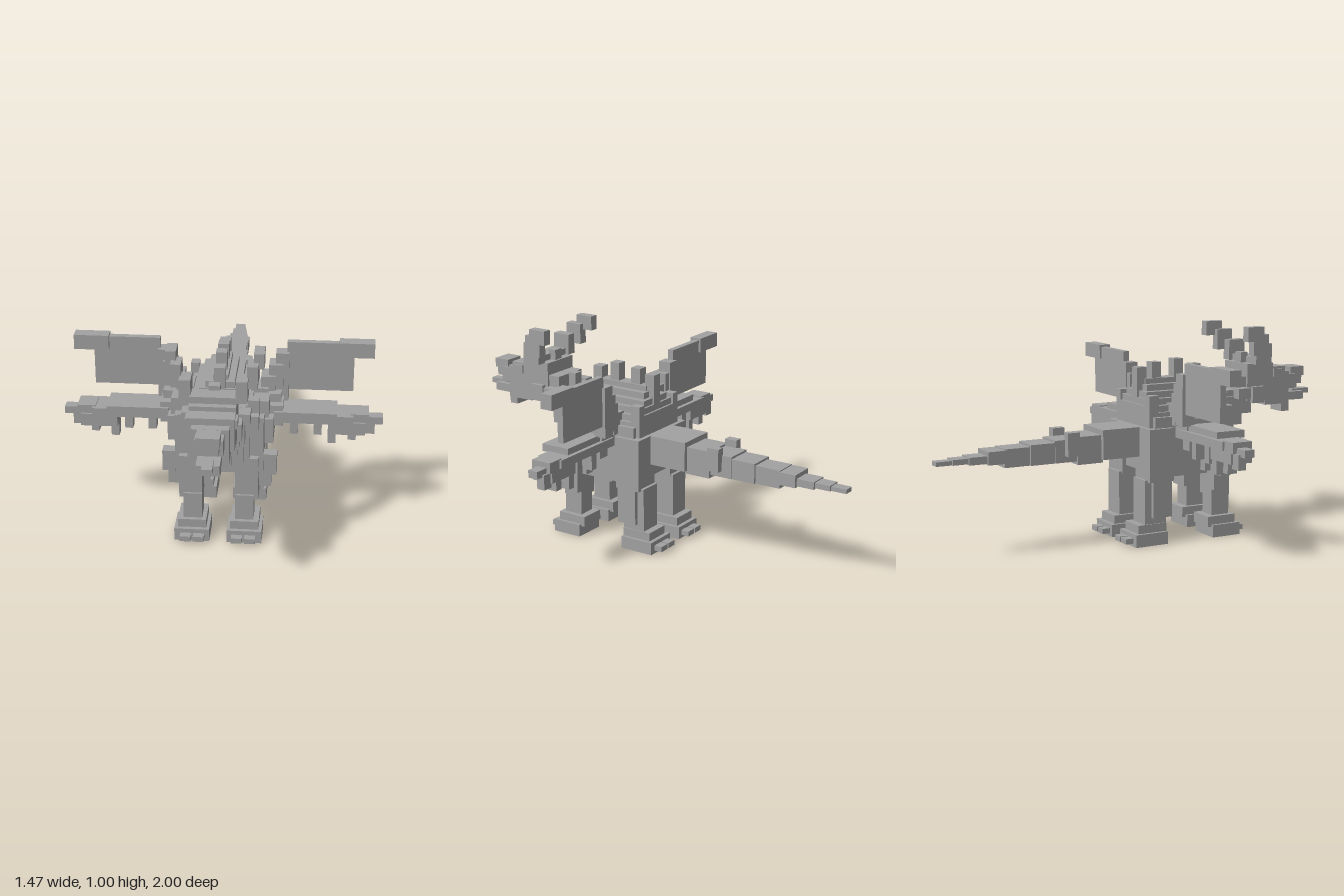
import * as THREE from 'three';

export function createModel() {
  const model = new THREE.Group();
  model.name = 'blockDragon';
  const grey = new THREE.MeshStandardMaterial({ color: 0xa2a2a2 });
  grey.name = 'stone grey';

  const part = (name) => {
    const g = new THREE.Group();
    g.name = name;
    model.add(g);
    return g;
  };
  // Box from its extents
  const box = (g, name, x0, x1, y0, y1, z0, z1) => {
    const m = new THREE.Mesh(new THREE.BoxGeometry(x1 - x0, y1 - y0, z1 - z0), grey);
    m.position.set((x0 + x1) / 2, (y0 + y1) / 2, (z0 + z1) / 2);
    m.name = name;
    g.add(m);
  };
  // Box centred on x = 0
  const mid = (g, name, w, ...e) => box(g, name, -w, w, ...e);
  // Mirrored pair of boxes
  const pair = (g, name, x0, x1, ...e) => {
    box(g, name + 'Left', x0, x1, ...e);
    box(g, name + 'Right', -x1, -x0, ...e);
  };

  // Torso with stepped chest
  const body = part('body');
  mid(body, 'torso', 0.16, 0.34, 0.62, 0.0, 0.4);
  mid(body, 'belly', 0.155, 0.31, 0.36, 0.08, 0.38);
  mid(body, 'upperTorso', 0.18, 0.42, 0.6, 0.02, 0.36);
  mid(body, 'chestStep', 0.14, 0.36, 0.63, 0.38, 0.43);
  mid(body, 'chestStep', 0.115, 0.4, 0.64, 0.42, 0.46);
  mid(body, 'chestStep', 0.09, 0.45, 0.62, 0.45, 0.49);
  mid(body, 'chestPlate', 0.06, 0.39, 0.46, 0.4, 0.48);

  // Stepped ridges on the back
  [[0.145, 0.65, 0.0, 0.38], [0.12, 0.68, 0.01, 0.36], [0.095, 0.71, 0.02, 0.34],
    [0.065, 0.74, 0.04, 0.33], [0.035, 0.765, 0.05, 0.31]]
    .forEach(([w, y, z0, z1]) => mid(body, 'backStep', w, y - 0.05, y, z0, z1));

  // Spines down the middle of the back
  const spines = part('spines');
  [[0.01, 0.82], [0.09, 0.84], [0.21, 0.85], [0.31, 0.82], [0.37, 0.7]]
    .forEach(([z, y]) => mid(spines, 'spine', 0.025, y - 0.15, y, z, z + 0.05));

  // Neck
  const neck = part('neck');
  mid(neck, 'neckBase', 0.12, 0.5, 0.66, 0.38, 0.49);
  mid(neck, 'neckMiddle', 0.1, 0.52, 0.69, 0.46, 0.55);
  mid(neck, 'neckTop', 0.09, 0.57, 0.75, 0.52, 0.61);
  mid(neck, 'neckSpine', 0.025, 0.69, 0.76, 0.47, 0.51);
  pair(neck, 'collar', 0.11, 0.18, 0.56, 0.63, 0.36, 0.45);

  // Head, jaw and muzzle
  const head = part('head');
  mid(head, 'skull', 0.1, 0.63, 0.81, 0.58, 0.73);
  mid(head, 'brow', 0.1, 0.74, 0.84, 0.62, 0.7);
  mid(head, 'crest', 0.025, 0.8, 0.86, 0.59, 0.63);
  mid(head, 'face', 0.1, 0.64, 0.79, 0.7, 0.8);
  mid(head, 'muzzle', 0.08, 0.66, 0.76, 0.78, 0.84);
  mid(head, 'muzzle', 0.06, 0.67, 0.74, 0.82, 0.9);
  mid(head, 'nose', 0.045, 0.69, 0.74, 0.88, 0.94);
  mid(head, 'noseHorn', 0.05, 0.73, 0.775, 0.87, 0.95);
  mid(head, 'jaw', 0.08, 0.6, 0.66, 0.7, 0.84);
  mid(head, 'jawFront', 0.05, 0.61, 0.65, 0.82, 0.95);
  mid(head, 'tongue', 0.023, 0.635, 0.66, 0.9, 1.0);
  mid(head, 'beard', 0.045, 0.555, 0.61, 0.82, 0.865);
  pair(head, 'eyebrow', 0.06, 0.11, 0.74, 0.78, 0.73, 0.79);
  pair(head, 'cheek', 0.095, 0.12, 0.62, 0.7, 0.6, 0.67);
  pair(head, 'ear', 0.1, 0.15, 0.65, 0.7, 0.5, 0.57);
  pair(head, 'hornRoot', 0.095, 0.145, 0.81, 0.91, 0.6, 0.69);
  pair(head, 'hornMiddle', 0.14, 0.185, 0.86, 0.96, 0.56, 0.645);
  pair(head, 'hornTip', 0.165, 0.21, 0.93, 1.0, 0.51, 0.6);

  // Tapering tail: half width, y range, z range
  const tail = part('tail');
  [[0.1, 0.41, 0.55, -0.21, 0.02], [0.08, 0.395, 0.525, -0.33, -0.2],
    [0.068, 0.41, 0.515, -0.44, -0.32], [0.065, 0.41, 0.505, -0.56, -0.44],
    [0.055, 0.41, 0.495, -0.685, -0.56], [0.06, 0.43, 0.49, -0.765, -0.67],
    [0.045, 0.435, 0.47, -0.85, -0.76], [0.035, 0.44, 0.465, -0.925, -0.85],
    [0.025, 0.44, 0.46, -1.0, -0.92]]
    .forEach((t) => mid(tail, 'tailSegment', ...t));
  pair(tail, 'tailSpike', 0.06, 0.1, 0.44, 0.55, -0.39, -0.33);

  // Front legs with toes pointing forward
  const front = part('frontLegs');
  pair(front, 'frontThigh', 0.075, 0.18, 0.2, 0.41, 0.33, 0.43);
  pair(front, 'shoulder', 0.12, 0.2, 0.33, 0.6, 0.28, 0.4);
  pair(front, 'frontShin', 0.075, 0.16, 0.08, 0.225, 0.345, 0.44);
  pair(front, 'frontAnkle', 0.055, 0.185, 0.05, 0.1, 0.31, 0.46);
  pair(front, 'frontFoot', 0.04, 0.2, 0, 0.06, 0.33, 0.48);
  pair(front, 'elbowPlate', 0.17, 0.235, 0.24, 0.36, 0.31, 0.37);
  pair(front, 'elbowSpur', 0.2, 0.26, 0.31, 0.41, 0.33, 0.385);

  // Hind legs with toes pointing backward
  const hind = part('hindLegs');
  pair(hind, 'hindThigh', 0.065, 0.2, 0.3, 0.55, -0.02, 0.11);
  pair(hind, 'hindShin', 0.07, 0.18, 0.08, 0.31, -0.035, 0.08);
  pair(hind, 'hindKnee', 0.12, 0.2, 0.13, 0.31, 0.0, 0.1);
  pair(hind, 'hindAnkle', 0.055, 0.185, 0.05, 0.1, -0.07, 0.08);
  pair(hind, 'hindFoot', 0.04, 0.2, 0, 0.06, -0.09, 0.08);
  for (const x of [0.062, 0.122]) {
    pair(front, 'frontToe', x, x + 0.05, 0.015, 0.04, 0.47, 0.515);
    pair(hind, 'hindToe', x, x + 0.05, 0.015, 0.04, -0.13, -0.08);
  }

  // Raised upper wings on stepped arms
  const upper = part('upperWings');
  pair(upper, 'wingRoot', 0.13, 0.21, 0.56, 0.66, 0.11, 0.22);
  pair(upper, 'wingArm', 0.175, 0.24, 0.58, 0.71, 0.11, 0.2);
  pair(upper, 'wingArm', 0.21, 0.275, 0.63, 0.76, 0.1, 0.18);
  pair(upper, 'wingArm', 0.24, 0.3, 0.57, 0.81, 0.095, 0.16);
  pair(upper, 'wingPanel', 0.29, 0.595, 0.625, 0.86, 0.11, 0.14);
  pair(upper, 'wingTip', 0.525, 0.685, 0.8, 0.87, 0.1, 0.16);

  // Low spread wings with hanging claws
  const lower = part('lowerWings');
  pair(lower, 'lowerRoot', 0.15, 0.28, 0.5, 0.6, 0.13, 0.27);
  pair(lower, 'lowerRootPlate', 0.16, 0.24, 0.44, 0.56, 0.17, 0.33);
  pair(lower, 'lowerSlab', 0.24, 0.525, 0.54, 0.575, 0.14, 0.285);
  pair(lower, 'lowerPanel', 0.2, 0.6, 0.505, 0.545, 0.12, 0.25);
  pair(lower, 'hand', 0.485, 0.655, 0.45, 0.51, 0.13, 0.24);
  pair(lower, 'handTop', 0.585, 0.67, 0.5, 0.55, 0.13, 0.23);
  pair(lower, 'fingertip', 0.64, 0.735, 0.49, 0.525, 0.15, 0.2);
  pair(lower, 'fingertipClaw', 0.65, 0.7, 0.43, 0.5, 0.14, 0.18);
  [[0.31, 0.42], [0.42, 0.42], [0.485, 0.38], [0.578, 0.4]]
    .forEach(([x, y]) => pair(lower, 'claw', x, x + 0.037, y, 0.52, 0.14, 0.19));

  // Flank plates and shoulder studs
  const flanks = part('flankPlates');
  pair(flanks, 'flankPlate', 0.15, 0.22, 0.58, 0.66, 0.26, 0.35);
  pair(flanks, 'shoulderStud', 0.13, 0.18, 0.62, 0.69, 0.36, 0.41);
  pair(flanks, 'sideStud', 0.18, 0.27, 0.58, 0.64, 0.16, 0.23);
  pair(flanks, 'hipStud', 0.12, 0.16, 0.6, 0.7, 0.0, 0.05);

  return model;
}
